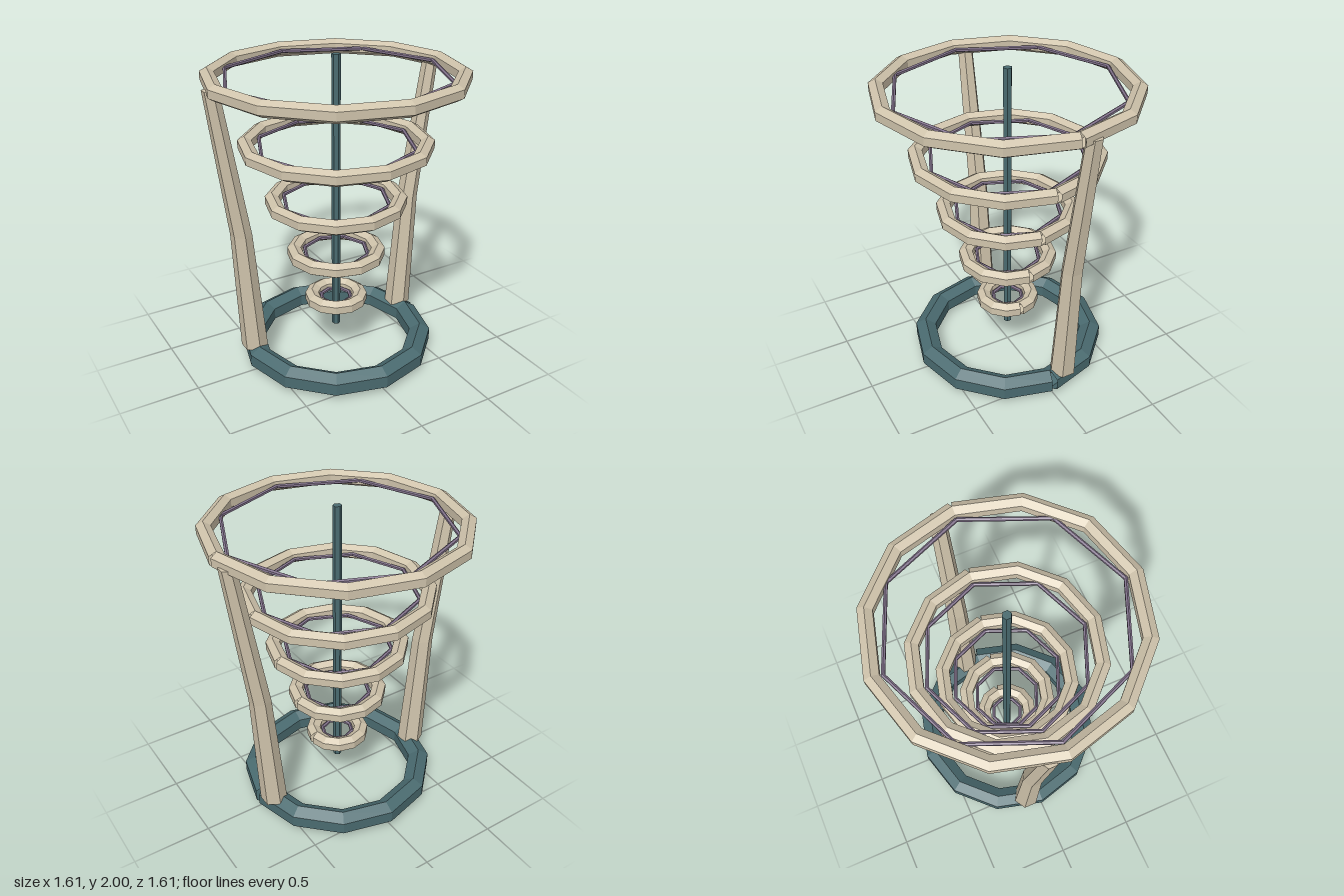
import * as THREE from 'three';

const mat = (color) => new THREE.MeshStandardMaterial({ color, flatShading: true, side: THREE.DoubleSide });

// Faceted hoop: an open tube whose ends meet at +x, leaving a fine wedge-shaped seam
function hoop(name, radius, thickness, y, sides, material) {
  const points = [];
  for (let i = 0; i <= sides; i++) {
    const a = (i / sides) * Math.PI * 2;
    points.push(new THREE.Vector3(Math.cos(a) * radius, 0, Math.sin(a) * radius));
  }
  const path = new THREE.CatmullRomCurve3(points);
  const mesh = new THREE.Mesh(new THREE.TubeGeometry(path, sides, thickness, 6, false), material);
  mesh.name = name;
  mesh.position.y = y;
  return mesh;
}

// Tapered six-sided support with a bend part way up
function support(name, side, material) {
  const bottom = 0.125, top = 1.865;
  const geometry = new THREE.CylinderGeometry(0.05, 0.085, top - bottom, 6, 2);
  const p = geometry.attributes.position;
  for (let i = 0; i < p.count; i++) {
    const y = p.getY(i);
    const [cx, cy] = y > 0.1 ? [0.755, top] : y < -0.1 ? [0.56, bottom] : [0.615, 0.94];
    p.setXYZ(i, p.getX(i) + side * cx, cy, p.getZ(i) - 0.096);
  }
  geometry.computeVertexNormals();
  const mesh = new THREE.Mesh(geometry, material);
  mesh.name = name;
  return mesh;
}

export function createModel() {
  const group = new THREE.Group();
  group.name = 'ringTower';
  const beige = mat(0xd0c4ac);
  const teal = mat(0x4a6b70);
  const purple = mat(0x85758f);

  // Base ring
  group.add(hoop('baseRing', 0.565, 0.078, 0.078, 12, teal));

  // Central rod
  const rod = new THREE.Mesh(new THREE.CylinderGeometry(0.028, 0.028, 1.83, 6), teal);
  rod.name = 'centralRod';
  rod.position.y = 1.085;
  group.add(rod);

  // Stacked rings, each with a thin eight-sided inner hoop: [radius, height]
  const levels = [[0.16, 0.375], [0.272, 0.71], [0.405, 1.07], [0.56, 1.443], [0.762, 1.872]];
  levels.forEach(([radius, y], i) => {
    const level = new THREE.Group();
    level.name = `ringLevel${i + 1}`;
    level.add(hoop('outerRing', radius, 0.05, y, 12, beige));
    level.add(hoop('innerHoop', radius - 0.06, 0.013, y, 8, purple));
    group.add(level);
  });

  // Side supports
  group.add(support('leftSupport', 1, beige), support('rightSupport', -1, beige));
  return group;
}
